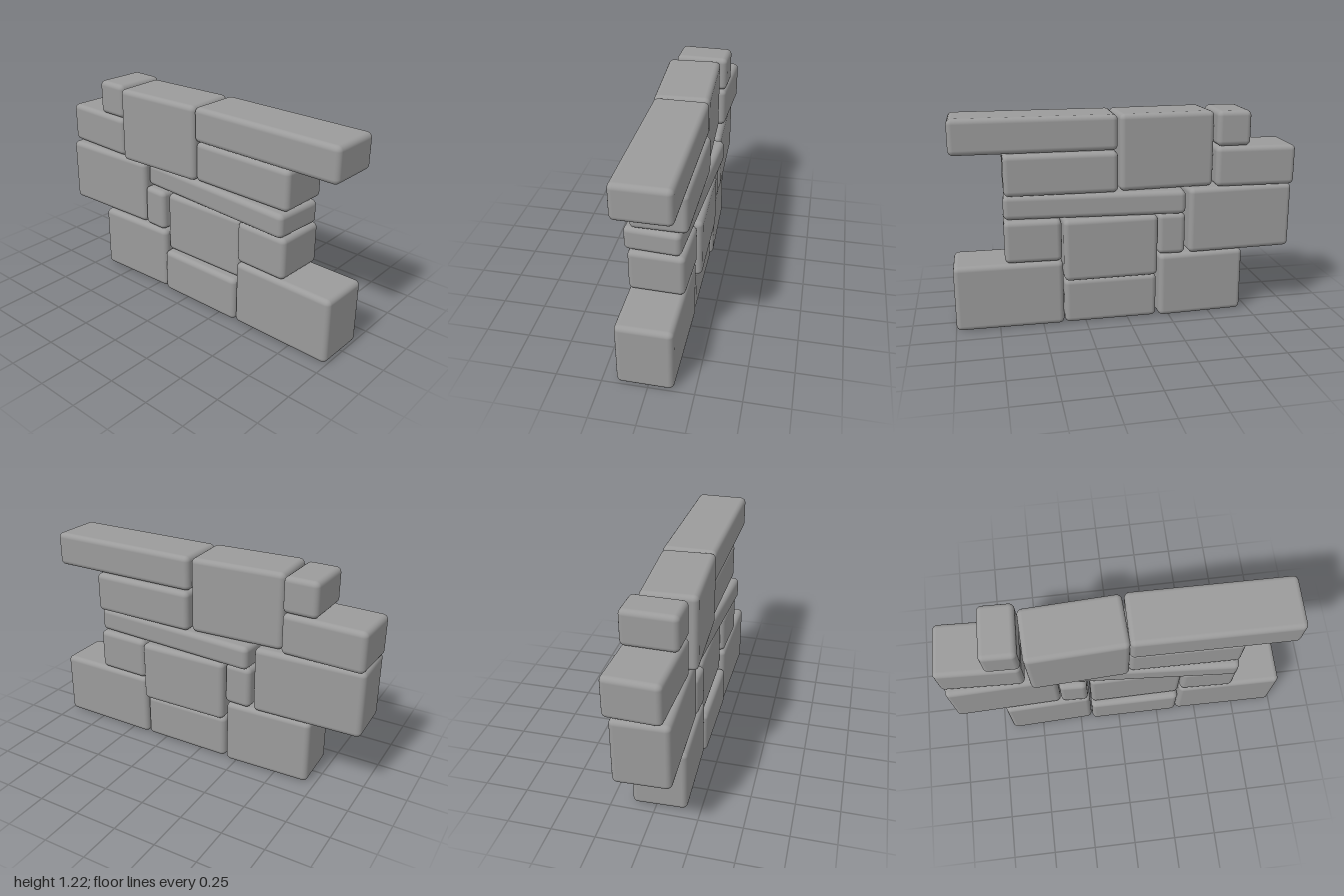
import * as THREE from 'three';
import { RoundedBoxGeometry } from 'three/addons/geometries/RoundedBoxGeometry.js';

const DEPTH = 0.31;
const BEVEL = 0.03;

// Each stone: name, left x, right x, bottom y, top y, centre z, turn about y
const STONES = [
  // bottom course
  ['bottomRightStone', -0.703, -0.178, 0, 0.39, 0.011, 0.035],
  ['bottomMiddleStone', -0.173, 0.373, 0, 0.27, 0.016, 0],
  ['bottomLeftStone', 0.375, 0.998, 0, 0.39, 0.014, -0.01],
  // middle course
  ['largeSideStone', -0.992, -0.353, 0.39, 0.782, 0.003, 0.03],
  ['narrowStone', -0.35, -0.178, 0.39, 0.64, 0, -0.04],
  ['centreStone', -0.173, 0.377, 0.27, 0.64, -0.017, 0.01],
  ['middleLeftStone', 0.375, 0.707, 0.39, 0.64, 0.009, -0.03],
  // long flat slab
  ['slabStone', -0.35, 0.706, 0.64, 0.782, 0, -0.066],
  // upper courses
  ['upperRightStone', -1.0, -0.516, 0.782, 1.02, -0.014, -0.04],
  ['upperLeftStone', 0.055, 0.699, 0.782, 1.02, -0.007, -0.015],
  ['topSmallStone', -0.722, -0.516, 1.02, 1.226, -0.009, -0.025],
  ['topLargeStone', -0.508, 0.058, 0.782, 1.223, 0.018, 0.045],
  ['topLongStone', 0.055, 0.984, 1.02, 1.223, 0.006, -0.01],
];

export function createModel() {
  const wall = new THREE.Group();
  wall.name = 'stoneWall';
  const material = new THREE.MeshStandardMaterial({ color: 0x9b9b9b });
  for (const [name, x0, x1, y0, y1, z, turn] of STONES) {
    // shorten a turned stone so that it still spans x0 to x1
    const width = x1 - x0 - (DEPTH - 2 * BEVEL) * Math.abs(Math.sin(turn));
    const height = y1 - y0 - 0.003;
    const stone = new THREE.Mesh(new RoundedBoxGeometry(width, height, DEPTH, 3, BEVEL), material);
    stone.name = name;
    stone.position.set((x0 + x1) / 2, y0 + height / 2, z);
    stone.rotation.y = turn;
    wall.add(stone);
  }
  return wall;
}
